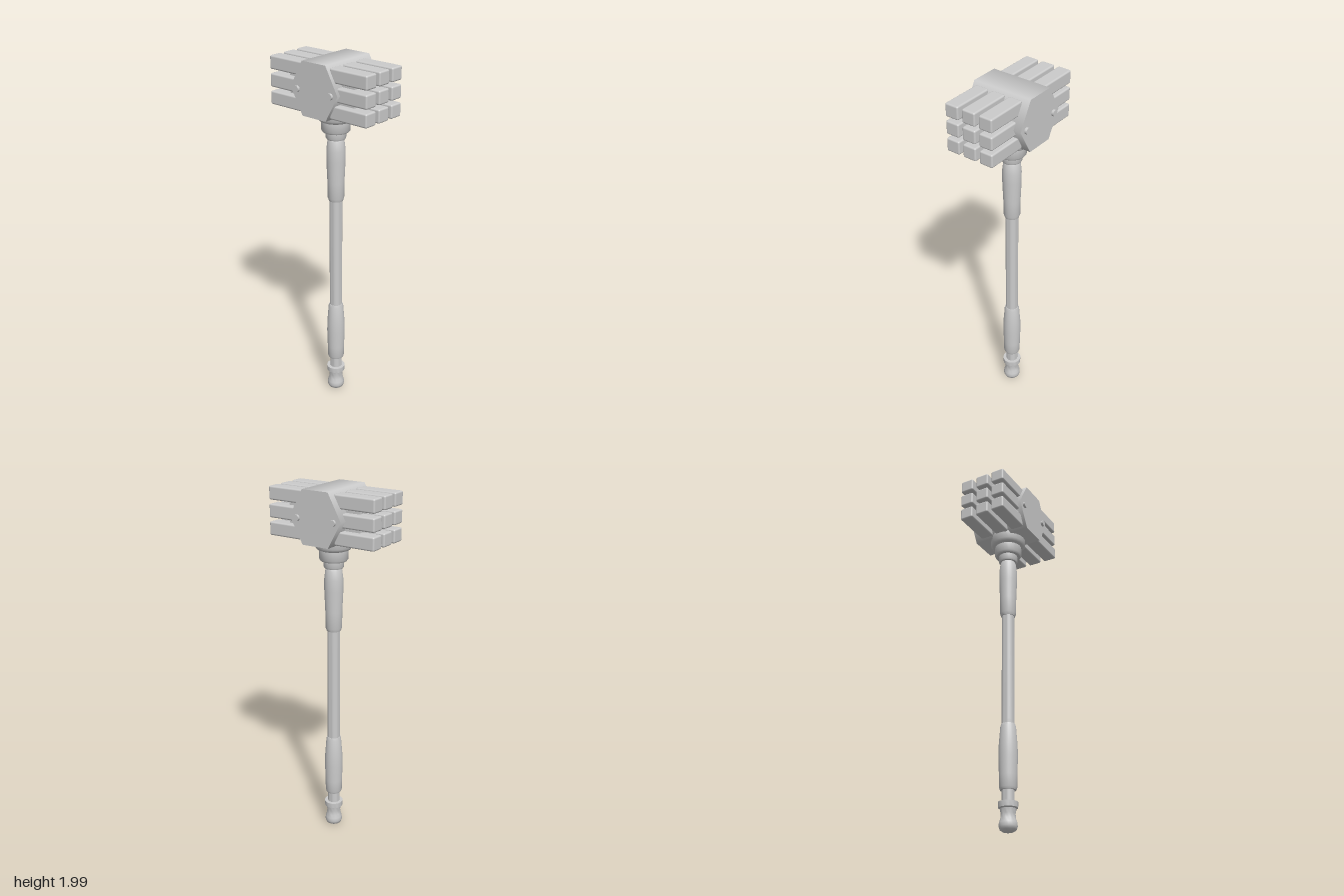
import * as THREE from 'three';
import { RoundedBoxGeometry } from 'three/addons/geometries/RoundedBoxGeometry.js';
import { toCreasedNormals } from 'three/addons/utils/BufferGeometryUtils.js';

export function createModel() {
  const group = new THREE.Group();
  const material = new THREE.MeshStandardMaterial({ color: 0xcccccc });
  const add = (name, geometry, x = 0, y = 0, z = 0) => {
    const mesh = new THREE.Mesh(geometry, material);
    mesh.name = name;
    mesh.position.set(x, y, z);
    group.add(mesh);
    return mesh;
  };
  // Turned part from [radius, height] pairs, listed bottom to top
  const turned = (name, points) => {
    const profile = points.map(([r, y]) => new THREE.Vector2(r, y));
    add(name, toCreasedNormals(new THREE.LatheGeometry(profile, 24), 0.7));
  };

  // Handle
  turned('pommel', [[0, 0.005], [0.028, 0.008], [0.043, 0.018], [0.049, 0.035], [0.047, 0.055],
    [0.04, 0.075], [0.038, 0.1], [0.043, 0.125], [0.051, 0.13], [0.052, 0.16], [0, 0.16]]);
  turned('shaft', [[0, 0.15], [0.033, 0.15], [0.035, 0.6], [0.035, 1.6], [0, 1.6]]);
  turned('lowerGrip', [[0.03, 0.222], [0.042, 0.222], [0.047, 0.235], [0.048, 0.3], [0.051, 0.4],
    [0.05, 0.46], [0.042, 0.565], [0.038, 0.58], [0.03, 0.58]]);
  turned('upperGrip', [[0.03, 1.222], [0.039, 1.222], [0.045, 1.24], [0.046, 1.33], [0.051, 1.45],
    [0.051, 1.51], [0.045, 1.56], [0.04, 1.572], [0.03, 1.572]]);

  // Stepped collar under the head
  turned('collar', [[0, 1.572], [0.05, 1.572], [0.054, 1.58], [0.054, 1.612], [0.07, 1.612],
    [0.077, 1.622], [0.077, 1.67], [0.09, 1.676], [0.1, 1.69], [0.1, 1.74], [0, 1.74]]);

  // Hexagonal head, lying along x
  const hexagon = new THREE.CylinderGeometry(0.155, 0.155, 0.338, 6);
  hexagon.rotateZ(Math.PI / 2);
  hexagon.scale(1, 1.047, 1);
  add('head', hexagon, 0, 1.859, 0);

  // Core block that carries the striking bars
  add('core', new THREE.BoxGeometry(0.2, 0.14, 0.43), -0.011, 1.845, 0);

  // Three by three striking bars on both faces
  for (const side of [-1, 1])
    for (const x of [-0.111, -0.011, 0.089])
      for (const y of [1.764, 1.857, 1.95])
        add('strikingBar', new RoundedBoxGeometry(0.077, 0.072, 0.235, 2, 0.009), x, y, side * 0.203);

  // Pins through the head
  for (const z of [-0.11, 0.11]) {
    const pin = add('pin', new THREE.CylinderGeometry(0.017, 0.017, 0.364, 12), 0, 1.853, z);
    pin.rotation.z = Math.PI / 2;
  }
  return group;
}
